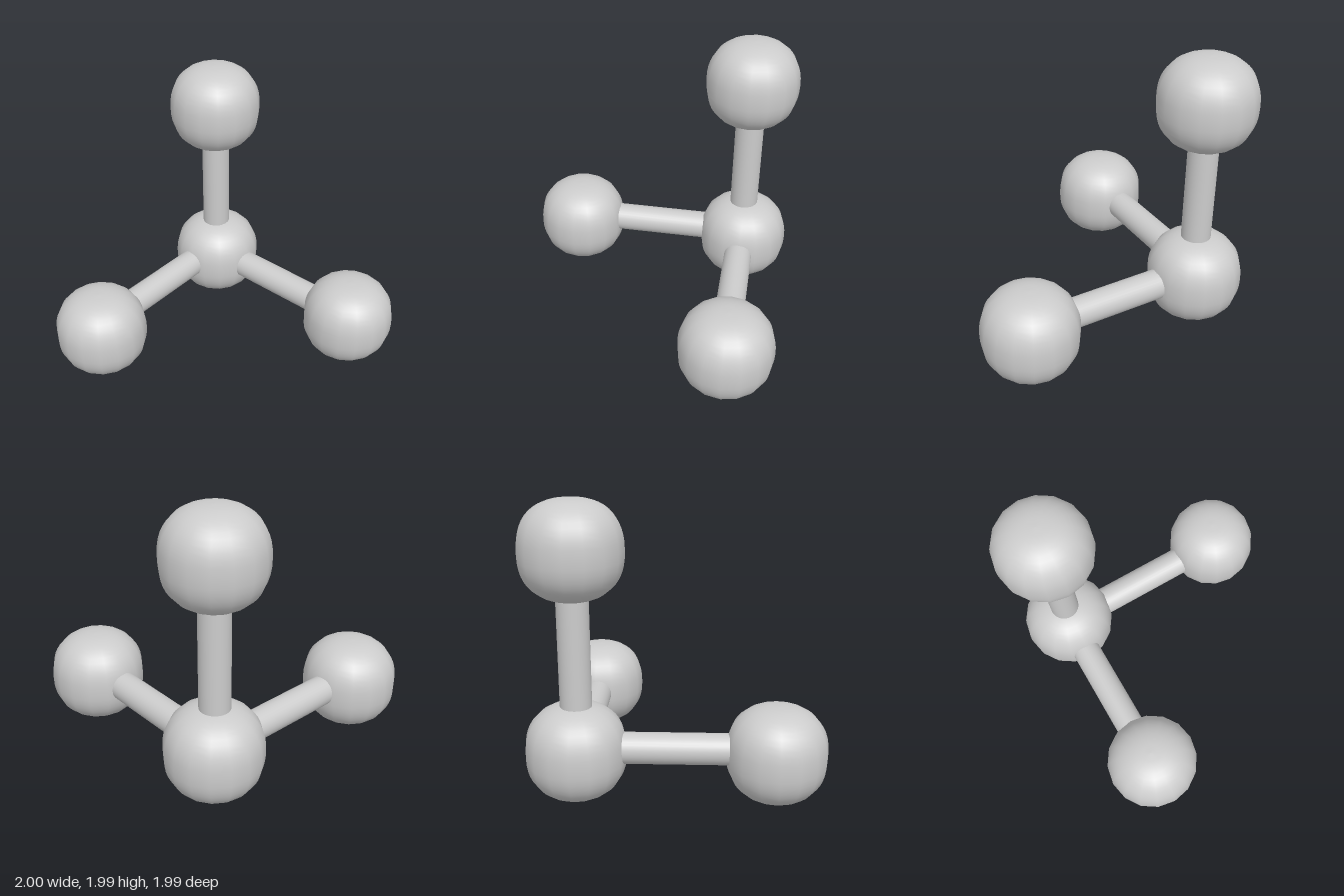
import * as THREE from 'three';

const BALL_WIDTH = 0.336, BALL_HEIGHT = 0.322, ROD_RADIUS = 0.105;

// Ball with slightly flattened poles, turned from a superellipse profile
function ballGeometry() {
  const profile = [], steps = 24, power = 2 / 2.4;
  for (let i = 0; i <= steps; i++) {
    const a = -Math.PI / 2 + (Math.PI * i) / steps;
    const s = Math.sin(a), c = Math.max(0, Math.cos(a));
    const r = i === 0 || i === steps ? 0 : BALL_WIDTH * Math.pow(c, power);
    profile.push(new THREE.Vector2(r, BALL_HEIGHT * Math.sign(s) * Math.pow(Math.abs(s), power)));
  }
  return new THREE.LatheGeometry(profile, 16);
}

export function createModel() {
  const group = new THREE.Group();
  const material = new THREE.MeshStandardMaterial({ color: 0xcccccc });

  // Four balls: one at the corner and one at the end of each arm
  const ball = ballGeometry();
  const balls = {
    cornerBall: [0.658, 0.327, -0.66],
    rightBall: [-0.664, 0.327, -0.66],
    frontBall: [0.66, 0.323, 0.66],
    topBall: [0.647, 1.67, -0.66],
  };
  for (const [name, position] of Object.entries(balls)) {
    const mesh = new THREE.Mesh(ball, material);
    mesh.name = name;
    mesh.position.set(...position);
    group.add(mesh);
  }

  // Three rods, their ends sunk into the balls
  const rod = new THREE.CylinderGeometry(ROD_RADIUS, ROD_RADIUS, 1, 32);
  const addRod = (name, position, rotation) => {
    const mesh = new THREE.Mesh(rod, material);
    mesh.name = name;
    mesh.position.set(...position);
    mesh.rotation.set(...rotation);
    group.add(mesh);
  };
  addRod('crossRod', [0, 0.35, -0.67], [0, 0, Math.PI / 2]);
  addRod('frontRod', [0.648, 0.326, 0], [Math.PI / 2, 0, 0]);
  addRod('uprightRod', [0.65, 1, -0.66], [0, 0, 0]);

  return group;
}
